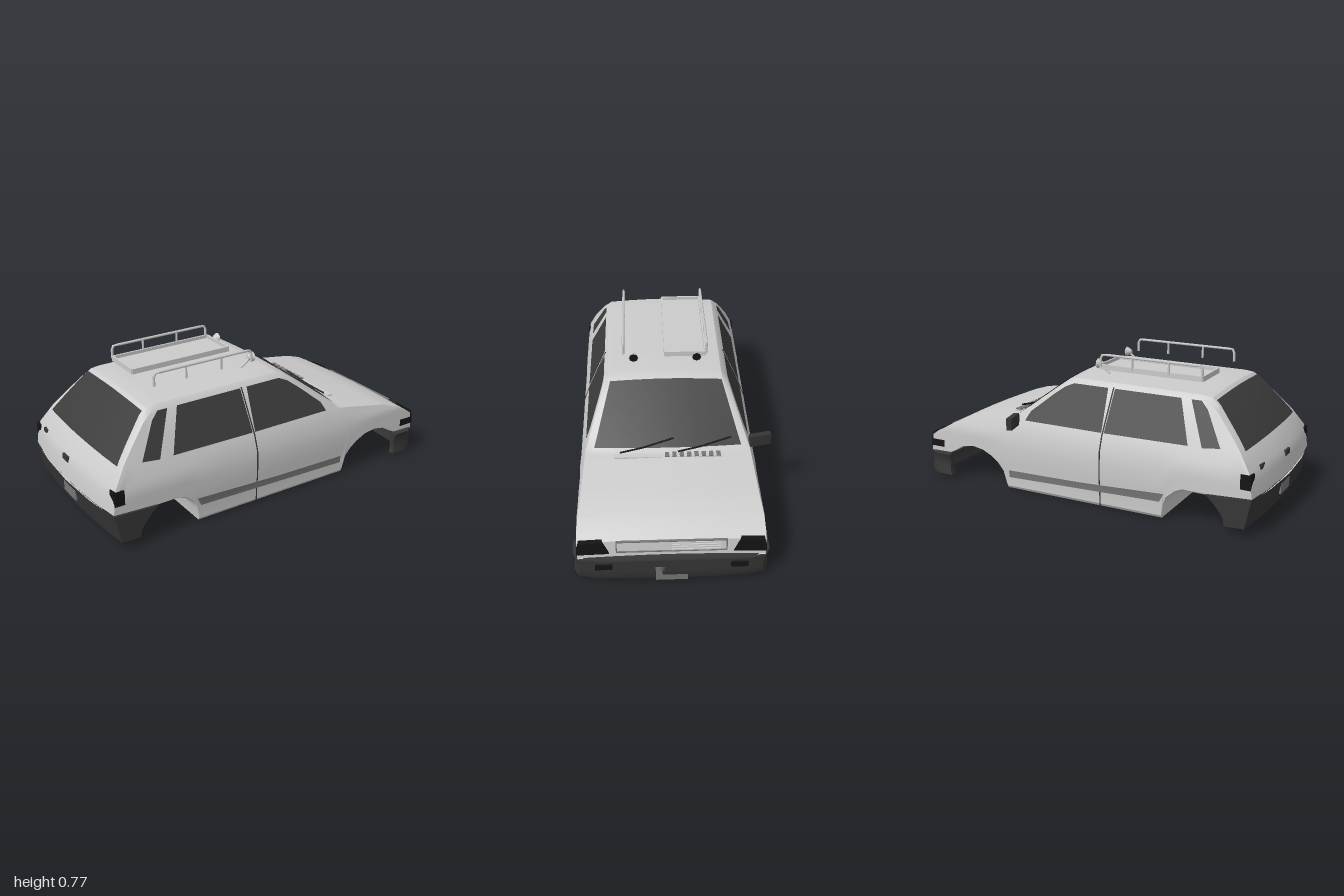
import * as THREE from 'three';
import { toCreasedNormals } from 'three/addons/utils/BufferGeometryUtils.js';

const paint = new THREE.MeshStandardMaterial({ color: 0xcccccc, side: THREE.DoubleSide });
const colour = (c) => new THREE.MeshStandardMaterial({ color: c, side: THREE.DoubleSide });
const glass = colour(0x3c3c3c), plastic = colour(0x363636), black = colour(0x141414), trim = colour(0x777777);

// piecewise linear lookup in a list of [x, y]
function look(table, x) {
  if (x <= table[0][0]) return table[0][1];
  for (let i = 1; i < table.length; i++) {
    const [x0, y0] = table[i - 1], [x1, y1] = table[i];
    if (x <= x1) return y0 + (y1 - y0) * (x - x0) / (x1 - x0);
  }
  return table[table.length - 1][1];
}

// top line, bottom line with wheel arches, and half width by height
const TOP = [[-0.965, 0.2], [-0.955, 0.28], [-0.94, 0.335], [-0.87, 0.43], [-0.82, 0.49], [-0.72, 0.605], [-0.68, 0.638],
  [-0.63, 0.645], [0.08, 0.647], [0.13, 0.64], [0.43, 0.4], [0.5, 0.39], [0.6, 0.373], [0.75, 0.347], [0.85, 0.313],
  [0.92, 0.275], [0.955, 0.25], [0.966, 0.16]];
const BOTTOM = [[-0.965, 0.195], [-0.73, 0.182], [-0.6, 0.183], [-0.56, 0.165], [-0.51, 0.12], [-0.495, 0.08], [-0.485, 0.01],
  [0.455, 0.005], [0.48, 0.09], [0.51, 0.135], [0.55, 0.17], [0.61, 0.2], [0.68, 0.213], [0.75, 0.2], [0.8, 0.17], [0.84, 0.15], [0.966, 0.15]];
const SIDE = [[0, 0.455], [0.1, 0.455], [0.16, 0.463], [0.3, 0.463], [0.39, 0.432], [0.63, 0.325], [0.7, 0.295]];
const sideZ = (y) => look(SIDE, y);

// curve of the tail and windscreen base in plan
const bow = (x, z) => x + (1 - (z / 0.46) ** 2) * look([[-0.95, -0.04], [-0.6, 0], [0.13, 0], [0.43, 0.04], [0.85, 0]], x);

function topRow(x) {
  const t = look(TOP, x), b = look(BOTTOM, x);
  const belt = Math.min(0.39, Math.max(b, t - 0.03));
  const edge = belt + (t - belt) * 0.9;
  const row = [1, 0.67, 0.33, 0].map((f) => [f * (sideZ(edge) - 0.03), t + 0.01 * (1 - f * f) - 0.002 * f]);
  return { t, b, belt, edge, row };
}

function bodySection(x) {
  const { b, belt, edge, row } = topRow(x);
  const half = [[0, b], [0.25, b], [sideZ(b) - 0.01, b]];
  for (const f of [0.04, 0.25, 0.4, 0.6, 0.8, 1]) {
    const y = b + (belt - b) * f;
    half.push([sideZ(y), y]);
  }
  const mid = (belt + edge) / 2;
  half.push([sideZ(mid), mid], [sideZ(edge), edge], ...row);
  const back = half.slice(1, -1).reverse().map(([z, y]) => [-z, y]);
  return [...half, ...back, half[0]];
}

function loft(xs, section, crease = 0.5) {
  const pos = [], index = [];
  const n = section(xs[0]).length;
  xs.forEach((x) => section(x).forEach(([z, y]) => pos.push(bow(x, z), y, z)));
  for (let i = 0; i < xs.length - 1; i++) {
    for (let j = 0; j < n - 1; j++) {
      const a = i * n + j, c = a + n;
      index.push(a, c, c + 1, a, c + 1, a + 1);
    }
  }
  const g = new THREE.BufferGeometry();
  g.setAttribute('position', new THREE.Float32BufferAttribute(pos, 3));
  g.setIndex(index);
  return toCreasedNormals(g, crease);
}

const polygon = (pts) => new THREE.Shape(pts.map(([x, y]) => new THREE.Vector2(x, y)));

export function createModel() {
  const root = new THREE.Group();
  const car = new THREE.Group();
  car.name = 'car';
  car.position.z = 0.025;
  root.add(car);

  const add = (name, geometry, material, x = 0, y = 0, z = 0) => {
    const m = new THREE.Mesh(geometry, material);
    m.name = name;
    m.position.set(x, y, z);
    car.add(m);
    return m;
  };
  const box = (name, w, h, d, material, x, y, z) => add(name, new THREE.BoxGeometry(w, h, d), material, x, y, z);
  const tube = (name, pts, r, material) => {
    const path = new THREE.CurvePath();
    const v = pts.map((p) => new THREE.Vector3(...p));
    for (let i = 1; i < v.length; i++) path.add(new THREE.LineCurve3(v[i - 1], v[i]));
    return add(name, new THREE.TubeGeometry(path, (v.length - 1) * 6, r, 6), material);
  };
  // flat panel laid on the body side
  const sidePanel = (name, pts, material, s, lift) => {
    const g = new THREE.ShapeGeometry(polygon(pts));
    const p = g.attributes.position;
    for (let i = 0; i < p.count; i++) p.setZ(i, s * (sideZ(p.getY(i)) + lift));
    g.computeVertexNormals();
    add(name, g, material);
  };

  // body shell
  const stations = [...new Set([...TOP, ...BOTTOM].map((p) => p[0]).concat([-0.3, -0.1, 0.2, 0.28, 0.36]))].sort((a, b) => a - b);
  add('bodyShell', loft(stations, bodySection), paint);

  // windscreen and rear window
  const pane = (x) => {
    const r = topRow(x).row.map(([z, y]) => [z * 0.97, y + 0.006]);
    return [...r, ...r.slice(0, -1).reverse().map(([z, y]) => [-z, y])];
  };
  add('windscreen', loft([0.145, 0.2, 0.28, 0.36, 0.42], pane), glass);
  add('rearWindow', loft([-0.885, -0.87, -0.82, -0.72, -0.7], pane), glass);

  for (const s of [1, -1]) {
    // side glass
    sidePanel('frontDoorWindow', [[-0.125, 0.405], [-0.115, 0.622], [0.09, 0.622], [0.14, 0.6], [0.2, 0.555], [0.32, 0.455], [0.345, 0.405]], glass, s, 0.004);
    sidePanel('rearDoorWindow', [[-0.61, 0.41], [-0.53, 0.622], [-0.155, 0.622], [-0.14, 0.405]], glass, s, 0.004);
    sidePanel('quarterWindow', [[-0.78, 0.42], [-0.685, 0.41], [-0.585, 0.622], [-0.64, 0.622], [-0.68, 0.585]], glass, s, 0.004);
    // rubbing strip and door gap
    sidePanel('sideStripe', [[-0.5, 0.148], [-0.475, 0.1], [0.44, 0.072], [0.44, 0.112], [0, 0.122]], trim, s, 0.004);
    tube('doorGap', [0.01, 0.1, 0.16, 0.3, 0.39, 0.625].map((y) => [y > 0.39 ? -0.145 : -0.13, y, s * (sideZ(y) - 0.001)]), 0.004, plastic);

    // lamps
    const lamp = new THREE.ExtrudeGeometry(polygon([[0.305, 0.185], [0.466, 0.18], [0.464, 0.215], [0.455, 0.255], [0.34, 0.26]]
      .map(([z, y]) => [-s * z, y])), { depth: 0.09, bevelEnabled: false });
    add('headlight', lamp.rotateY(Math.PI / 2), black, 0.88);
    box('tailLight', 0.055, 0.075, 0.05, black, -0.93, 0.285, s * 0.44);
    box('bumperLamp', 0.01, 0.03, 0.085, black, 1, 0.125, s * 0.333);

    // roof spotlight on its bracket
    const spot = add('spotlight', new THREE.CylinderGeometry(0.028, 0.012, 0.03, 8).rotateZ(-Math.PI / 2), paint, 0.02, 0.703, s * 0.17);
    const lens = new THREE.Mesh(new THREE.CircleGeometry(0.024, 8).rotateY(Math.PI / 2), black);
    lens.name = 'spotlightLens';
    lens.position.x = 0.0155;
    spot.add(lens);
    tube('spotlightBracket', [[0.01, 0.69, s * 0.17], [-0.04, 0.655, s * 0.17]], 0.006, paint);

    // roof rail with posts
    const z = s * 0.225;
    tube('roofRail', [[-0.595, 0.7, z], [-0.595, 0.755, z], [-0.585, 0.768, z], [-0.025, 0.768, z], [-0.012, 0.755, z], [-0.012, 0.7, z]], 0.007, paint);
    for (const x of [-0.41, -0.2]) tube('railPost', [[x, 0.7, z], [x, 0.768, z]], 0.006, paint);
  }

  // roof tray
  const tray = [-0.3, 0.7, -0.11];
  box('trayFloor', 0.58, 0.008, 0.22, paint, tray[0], 0.692, tray[2]);
  for (const s of [1, -1]) {
    box('trayLongRim', 0.59, 0.028, 0.01, paint, tray[0], tray[1], tray[2] + s * 0.11);
    box('trayShortRim', 0.01, 0.028, 0.22, paint, tray[0] + s * 0.295, tray[1], tray[2]);
  }

  // front bumper: a U in plan, drawn in at the middle of its height
  const plan = [[0.83, 0.488], [0.92, 0.488], [0.97, 0.465], [0.99, 0.38], [1, 0.2]];
  const inner = [[0.94, 0.2], [0.93, 0.4], [0.9, 0.44], [0.83, 0.455]];
  const flip = (pts) => pts.slice().reverse().map(([x, z]) => [x, -z]);
  const frontBumper = new THREE.ExtrudeGeometry(polygon([...plan, ...flip(plan), ...flip(inner), ...inner]),
    { depth: 0.135, steps: 4, bevelEnabled: false }).rotateX(Math.PI / 2).translate(0, 0.162, 0);
  const fp = frontBumper.attributes.position;
  for (let i = 0; i < fp.count; i++) {
    const y = fp.getY(i), z = fp.getZ(i);
    fp.setZ(i, z * (0.97 + 0.03 * Math.abs(y - 0.094) / 0.068));
    fp.setX(i, fp.getX(i) - (y < 0.06 ? 0.012 : 0));
    if (y > 0.15) fp.setY(i, y - 0.015 * (z / 0.488) ** 2);
  }
  add('frontBumper', toCreasedNormals(frontBumper, 0.6), plastic);
  box('frontPlate', 0.02, 0.09, 0.16, trim, 0.99, 0.07, 0);

  // rear bumper: side profile carried across, bowed at the tail
  const rearBumper = new THREE.ExtrudeGeometry(polygon([[-0.73, 0.192], [-0.765, 0.16], [-0.805, 0.115], [-0.825, 0.08], [-0.83, 0.045],
    [-0.935, 0.05], [-0.95, 0.12], [-0.967, 0.205]]), { depth: 0.95, steps: 10, bevelEnabled: false }).translate(0, 0, -0.475);
  const rp = rearBumper.attributes.position;
  for (let i = 0; i < rp.count; i++) {
    if (rp.getX(i) < -0.9) rp.setX(i, rp.getX(i) - 0.03 * (1 - (rp.getZ(i) / 0.475) ** 2));
  }
  add('rearBumper', toCreasedNormals(rearBumper, 0.6), plastic);
  box('rearPlate', 0.01, 0.06, 0.14, trim, -0.982, 0.13, 0);
  box('hatchHandle', 0.02, 0.03, 0.06, plastic, -0.985, 0.315, -0.01);
  box('hatchLatch', 0.02, 0.025, 0.05, plastic, -0.955, 0.33, -0.32);

  // grille frame and slats
  for (const y of [0.192, 0.258]) box('grilleFrame', 0.012, 0.005, 0.54, trim, 0.963, y, 0);
  for (const s of [1, -1]) box('grilleFrameEnd', 0.012, 0.068, 0.005, trim, 0.963, 0.225, s * 0.27);
  for (let i = 0; i < 4; i++) box('grilleSlat', 0.012, 0.007, 0.24, paint, 0.964, 0.202 + i * 0.015, -0.12);

  // scuttle vent with ribs
  box('scuttleVent', 0.03, 0.008, 0.56, paint, 0.495, 0.402, 0);
  for (let i = 0; i < 8; i++) box('ventRib', 0.034, 0.006, 0.022, trim, 0.495, 0.409, -0.26 + i * 0.038);

  // wipers
  for (const z of [0.25, -0.05]) {
    tube('wiperArm', [[0.475, 0.41, z], [0.455, 0.425, z - 0.12], [0.425, 0.46, z - 0.28]], 0.005, black);
  }

  // door mirror on one side
  const mirror = box('doorMirror', 0.03, 0.065, 0.115, plastic, 0.385, 0.408, -0.487);
  mirror.rotation.y = 0.22;
  tube('mirrorStalk', [[0.4, 0.39, -0.415], [0.395, 0.4, -0.46]], 0.012, plastic);

  return root;
}
